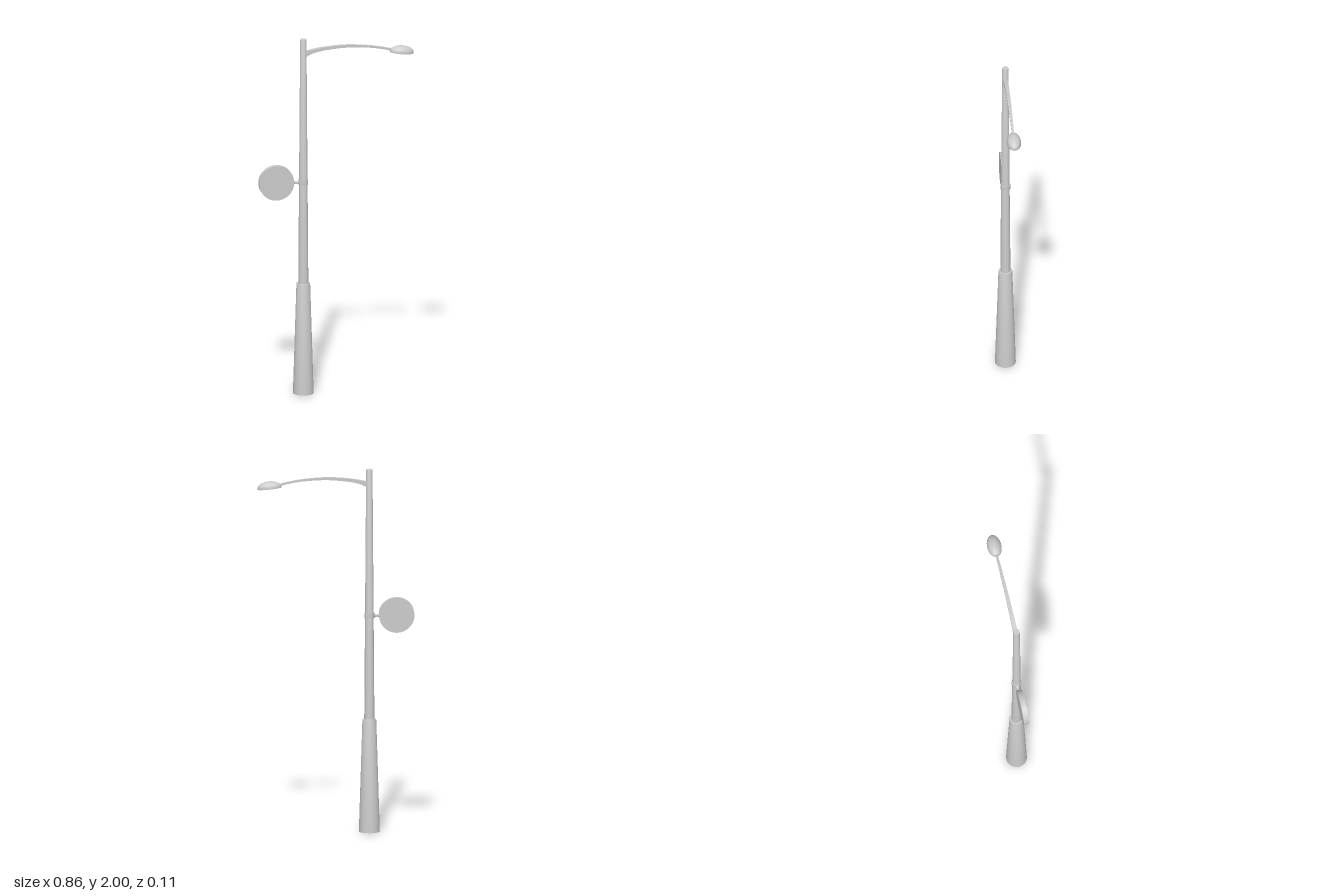
import * as THREE from 'three';
import { toCreasedNormals } from 'three/addons/utils/BufferGeometryUtils.js';

const POLE_X = -0.184;

export function createModel() {
  const model = new THREE.Group();
  const grey = new THREE.MeshStandardMaterial({ color: 0xcccccc });
  const v2 = (x, y) => new THREE.Vector2(x, y);

  function add(name, geometry, x = 0, y = 0, z = 0, parent = model) {
    const mesh = new THREE.Mesh(geometry, grey);
    mesh.name = name;
    mesh.position.set(x, y, z);
    parent.add(mesh);
    return mesh;
  }

  // Turned part with crisp rims, from [radius, height] pairs
  const turned = (points, sides) =>
    toCreasedNormals(new THREE.LatheGeometry(points.map(([r, y]) => v2(r, y)), sides), 0.6);

  // Tapered base sleeve, slim pole and clamp
  add('base', turned([[0, 0], [0.057, 0], [0.038, 0.615], [0.036, 0.622], [0, 0.622]], 20), POLE_X);
  add('pole', turned([[0, 0.6], [0.028, 0.6], [0.0175, 1.994], [0.0155, 2], [0, 2]], 20), POLE_X);
  add('clamp', turned([[0.02, -0.015], [0.027, -0.015], [0.027, 0.015], [0.02, 0.015]], 20), POLE_X, 1.193);

  // Round sign and its flared bracket
  const sign = add('roundSign', new THREE.CylinderGeometry(0.097, 0.097, 0.03, 40), -0.333, 1.195);
  sign.rotation.x = Math.PI / 2;
  const bracket = turned([[0, -0.016], [0.013, -0.016], [0.007, -0.004], [0.007, 0.006], [0.013, 0.018], [0, 0.018]], 12);
  add('signBracket', bracket, -0.223, 1.193).rotation.z = Math.PI / 2;

  // Curved arm: a bowed side outline, narrowing in z towards the lamp
  const outline = new THREE.Shape();
  outline.moveTo(-0.18, 1.93);
  outline.splineThru([v2(-0.165, 1.934), v2(-0.07, 1.95), v2(0.05, 1.957), v2(0.17, 1.949), v2(0.25, 1.936), v2(0.315, 1.921)]);
  outline.lineTo(0.315, 1.908);
  outline.splineThru([v2(0.25, 1.925), v2(0.17, 1.937), v2(0.05, 1.943), v2(-0.07, 1.933), v2(-0.13, 1.92), v2(-0.165, 1.904)]);
  outline.lineTo(-0.18, 1.896);
  const arm = new THREE.ExtrudeGeometry(outline, { depth: 2, bevelEnabled: false, curveSegments: 24 });
  arm.translate(0, 0, -1);
  const p = arm.attributes.position;
  for (let i = 0; i < p.count; i++) {
    const t = THREE.MathUtils.clamp((p.getX(i) + 0.18) / 0.49, 0, 1);
    p.setZ(i, p.getZ(i) * THREE.MathUtils.lerp(0.0125, 0.006, t));
  }
  add('arm', toCreasedNormals(arm, 0.5));

  // Oval lamp head, slightly drooping: domed shade, rim and shallow lens
  const lamp = new THREE.Group();
  lamp.name = 'lampHead';
  lamp.position.set(0.36, 1.9, 0);
  lamp.rotation.z = -0.1;
  model.add(lamp);

  const shade = [];
  for (let i = 0; i <= 10; i++) {
    const a = (i / 10) * Math.PI / 2;
    shade.push([Math.cos(a), 0.003 + 0.035 * Math.sin(a)]);
  }
  const oval = (points) => turned(points, 32).scale(0.066, 1, 0.039);
  add('lampShade', oval([[0.86, 0.003], [0.88, -0.002], [1, -0.002], ...shade]), 0, 0, 0, lamp);
  add('lampLens', oval([[0, -0.007], [0.3, -0.006], [0.6, -0.003], [0.88, 0.004]]), 0, 0, 0, lamp);

  // Socket joining arm and lamp
  const socket = new THREE.CylinderGeometry(0.008, 0.011, 0.03, 12);
  add('lampSocket', socket, 0.31, 1.914).rotation.z = Math.PI / 2 - 0.25;

  return model;
}
